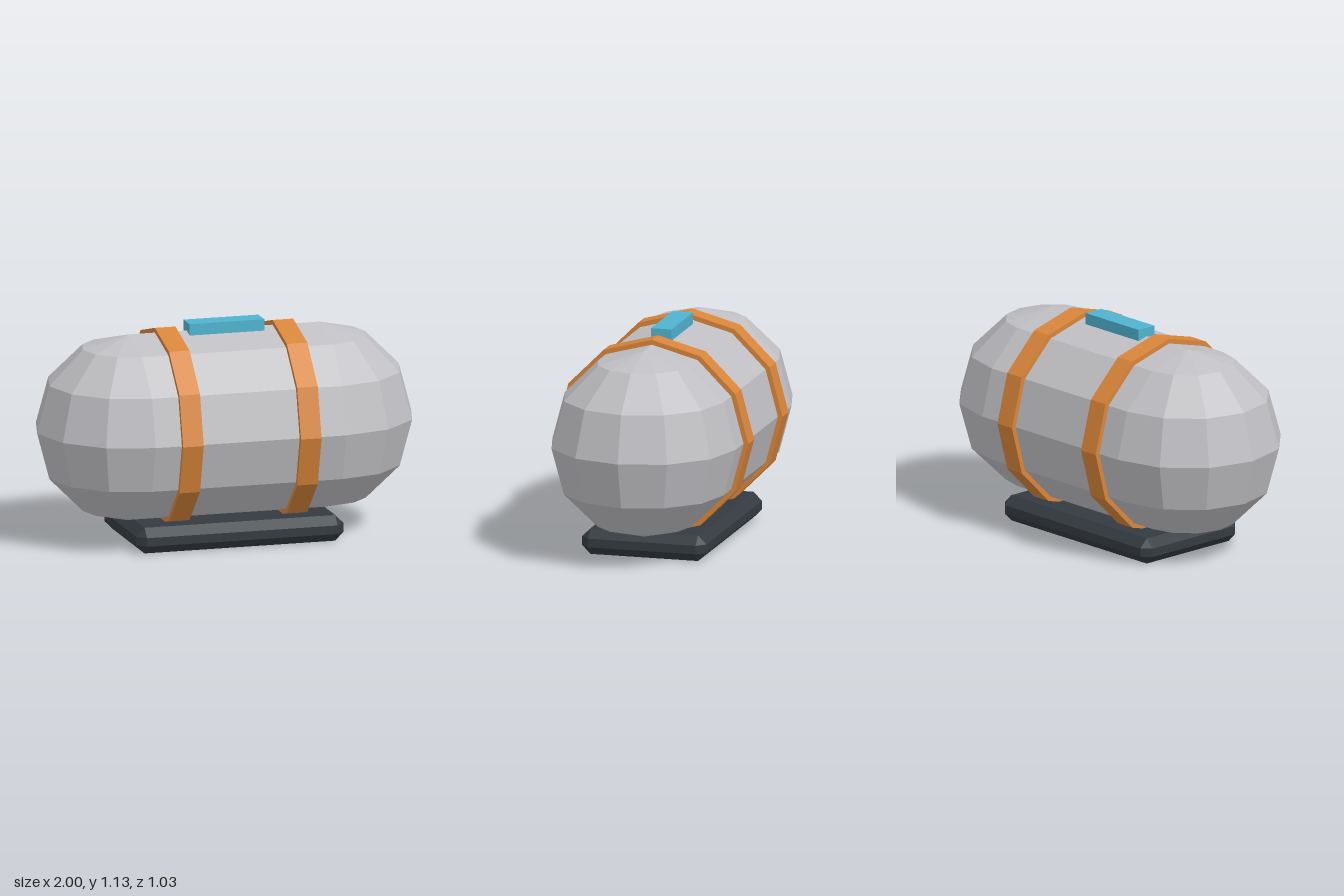
import * as THREE from 'three';
import { ConvexGeometry } from 'three/addons/geometries/ConvexGeometry.js';

const material = (name, color) => {
  const m = new THREE.MeshStandardMaterial({ color, flatShading: true });
  m.name = name;
  return m;
};

// Box with every edge cut at 45 degrees
function chamferBox(w, h, d, c) {
  const points = [];
  for (const x of [-w / 2, w / 2])
    for (const y of [-h / 2, h / 2])
      for (const z of [-d / 2, d / 2]) {
        const ix = x - Math.sign(x) * c, iy = y - Math.sign(y) * c, iz = z - Math.sign(z) * c;
        points.push(
          new THREE.Vector3(x, iy, iz),
          new THREE.Vector3(ix, y, iz),
          new THREE.Vector3(ix, iy, z)
        );
      }
  return new ConvexGeometry(points);
}

export function createModel() {
  const model = new THREE.Group();
  model.name = 'tank';
  const grey = material('tank grey', 0xc0c0c4);
  const orange = material('strap orange', 0xd9853a);
  const cyan = material('handle cyan', 0x4fb3cf);
  const dark = material('base charcoal', 0x343a40);

  const add = (name, geometry, mat, x, y) => {
    const mesh = new THREE.Mesh(geometry, mat);
    mesh.name = name;
    mesh.position.set(x, y, 0);
    model.add(mesh);
  };

  const radius = 0.49, axisY = 0.6, capX = 0.51;

  // Twelve-sided barrel lying along x
  add('barrel', new THREE.CylinderGeometry(radius, radius, capX * 2, 12, 1, true).rotateZ(Math.PI / 2), grey, 0, axisY);

  for (const side of [-1, 1]) {
    const label = side > 0 ? 'left' : 'right';
    // Half-sphere end with vertical poles
    const start = side > 0 ? Math.PI / 2 : -Math.PI / 2;
    add(label + 'End', new THREE.SphereGeometry(radius, 6, 6, start, Math.PI), grey, side * capX, axisY);
    // Strap around the barrel
    add(label + 'Strap', new THREE.CylinderGeometry(0.515, 0.515, 0.11, 12).rotateZ(Math.PI / 2), orange, side * 0.315, axisY);
  }

  // Top handle and chamfered base
  add('handle', new THREE.BoxGeometry(0.4, 0.06, 0.11), cyan, 0, 1.105);
  add('base', chamferBox(1.11, 0.135, 0.665, 0.045), dark, 0, 0.0675);

  return model;
}
